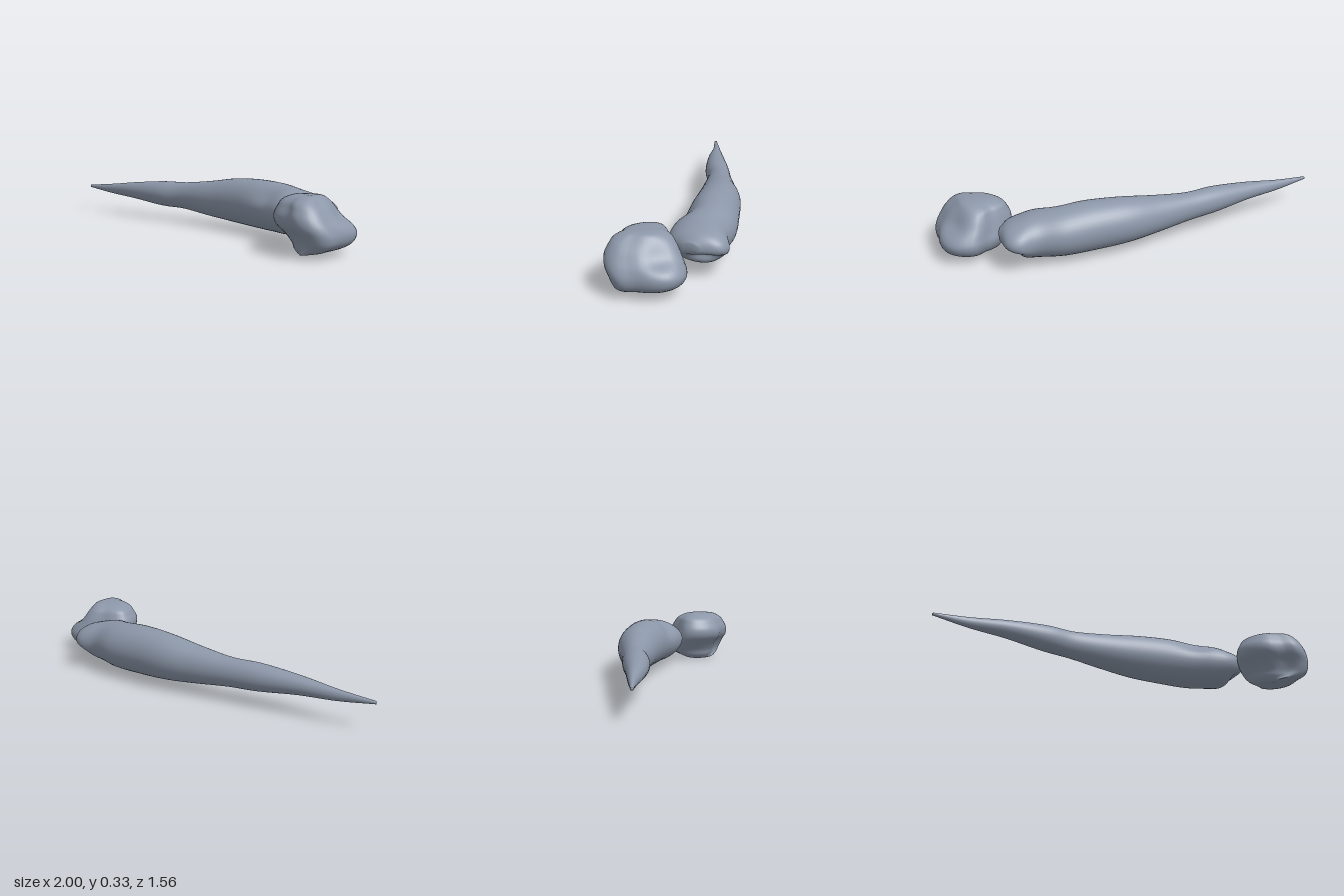
import * as THREE from 'three';

const V = (x, y, z) => new THREE.Vector3(x, y, z);

// Soft gaussian dent: pushes points near a centre along a direction
function dent(p, centre, radii, push) {
  const d = p.clone().sub(centre).divide(radii);
  p.addScaledVector(push, Math.exp(-d.lengthSq()));
}

// Smooth closed skin through a list of equal-length rings (counterclockwise about the travel direction)
function loft(rings, steps, shape) {
  const n = rings[0].length;
  const m = (rings.length - 1) * steps;
  const pos = [], index = [];
  const columns = rings[0].map((_, j) => new THREE.CatmullRomCurve3(rings.map(r => r[j]), false, 'catmullrom', 0.5));
  for (let i = 0; i <= m; i++) {
    for (let j = 0; j < n; j++) {
      const p = columns[j].getPoint(i / m);
      shape(p);
      pos.push(p.x, p.y, p.z);
    }
  }
  for (let i = 0; i < m; i++) {
    for (let j = 0; j < n; j++) {
      const a = i * n + j, b = i * n + (j + 1) % n;
      index.push(a, b, a + n, b, b + n, a + n);
    }
  }
  // end caps
  for (const row of [0, m]) {
    const c = V(0, 0, 0);
    for (let j = 0; j < n; j++) c.add(V().fromArray(pos, (row * n + j) * 3));
    c.divideScalar(n);
    const k = pos.length / 3;
    pos.push(c.x, c.y, c.z);
    for (let j = 0; j < n; j++) {
      const a = row * n + j, b = row * n + (j + 1) % n;
      if (row === 0) index.push(k, b, a); else index.push(k, a, b);
    }
  }
  const g = new THREE.BufferGeometry();
  g.setAttribute('position', new THREE.Float32BufferAttribute(pos, 3));
  g.setIndex(index);
  g.computeVertexNormals();
  return g;
}

// Long tapered shaft: back edge x,z / front edge x,z / bottom y, top y
function shaftGeometry() {
  const sections = [
    [-1.0, -0.785, -1.0, -0.765, 0.165, 0.182],
    [-0.78, -0.70, -0.82, -0.66, 0.138, 0.205],
    [-0.56, -0.615, -0.62, -0.52, 0.122, 0.235],
    [-0.33, -0.53, -0.40, -0.39, 0.095, 0.26],
    [-0.14, -0.45, -0.23, -0.32, 0.088, 0.266],
    [0.06, -0.375, -0.04, -0.19, 0.064, 0.292],
    [0.26, -0.30, 0.14, -0.06, 0.045, 0.325],
    [0.45, -0.19, 0.30, 0.07, 0.034, 0.335],
    [0.62, -0.08, 0.41, 0.17, 0.03, 0.327],
    [0.73, 0.03, 0.50, 0.27, 0.035, 0.31],
    [0.84, 0.085, 0.57, 0.325, 0.06, 0.285],
    [0.87, 0.16, 0.65, 0.348, 0.10, 0.26],
    [0.82, 0.265, 0.75, 0.325, 0.15, 0.22],
  ];
  const n = 40;
  const rings = sections.map(([bx, bz, fx, fz, y0, y1]) => {
    const ring = [];
    for (let j = 0; j < n; j++) {
      const a = j / n * Math.PI * 2;
      const c = Math.cos(a) / 2, s = Math.sin(a);
      ring.push(V((bx + fx) / 2 + (bx - fx) * c, (y0 + y1) / 2 + (y1 - y0) / 2 * s, (bz + fz) / 2 + (bz - fz) * c));
    }
    return ring;
  });
  return loft(rings, 6, p => {
    // groove under the head, and a shallow hollow along the upper side
    dent(p, V(0.81, 0.11, 0.22), V(0.10, 0.035, 0.12), V(-0.06, 0.02, -0.035));
    dent(p, V(0.45, 0.27, 0.14), V(0.13, 0.06, 0.10), V(0.012, -0.012, -0.012));
  });
}

// Rounded knob: one plan outline fitted to each height's x and z range
function knobGeometry() {
  const outline = [
    [0.78, 0.775], [0.85, 0.75], [0.9, 0.68], [0.97, 0.6], [1, 0.52], [0.98, 0.44], [0.9, 0.37], [0.79, 0.362],
    [0.72, 0.348], [0.62, 0.35], [0.565, 0.4], [0.54, 0.5], [0.57, 0.61], [0.65, 0.68], [0.7, 0.75],
  ];
  const plan = new THREE.CatmullRomCurve3(outline.map(([x, z]) => V((x - 0.54) / 0.46, 0, (z - 0.345) / 0.43)), true);
  const points = plan.getPoints(44).slice(0, 44);
  // y, x range, z range
  const layers = [
    [0.003, 0.69, 0.72, 0.52, 0.60],
    [0.012, 0.675, 0.76, 0.45, 0.65],
    [0.035, 0.655, 0.90, 0.40, 0.71],
    [0.07, 0.64, 0.975, 0.365, 0.745],
    [0.12, 0.60, 1.0, 0.345, 0.765],
    [0.17, 0.55, 0.985, 0.35, 0.775],
    [0.22, 0.54, 0.945, 0.36, 0.765],
    [0.265, 0.56, 0.905, 0.375, 0.738],
    [0.30, 0.585, 0.86, 0.395, 0.705],
    [0.325, 0.64, 0.82, 0.45, 0.655],
    [0.333, 0.70, 0.78, 0.52, 0.59],
  ];
  const rings = layers.map(([y, x0, x1, z0, z1]) =>
    points.map(p => V(x0 + (x1 - x0) * p.x, y, z0 + (z1 - z0) * p.z)));
  return loft(rings, 4, p => {
    // hollow on the sloping side
    dent(p, V(0.92, 0.24, 0.53), V(0.08, 0.08, 0.09), V(-0.03, -0.025, 0));
  });
}

export function createModel() {
  const group = new THREE.Group();
  const slate = new THREE.MeshStandardMaterial({ color: 0x8c97a9 });
  slate.name = 'slate grey';

  const shaft = new THREE.Mesh(shaftGeometry(), slate);
  shaft.name = 'taperedShaft';
  const knob = new THREE.Mesh(knobGeometry(), slate);
  knob.name = 'endKnob';

  group.add(shaft, knob);
  return group;
}
